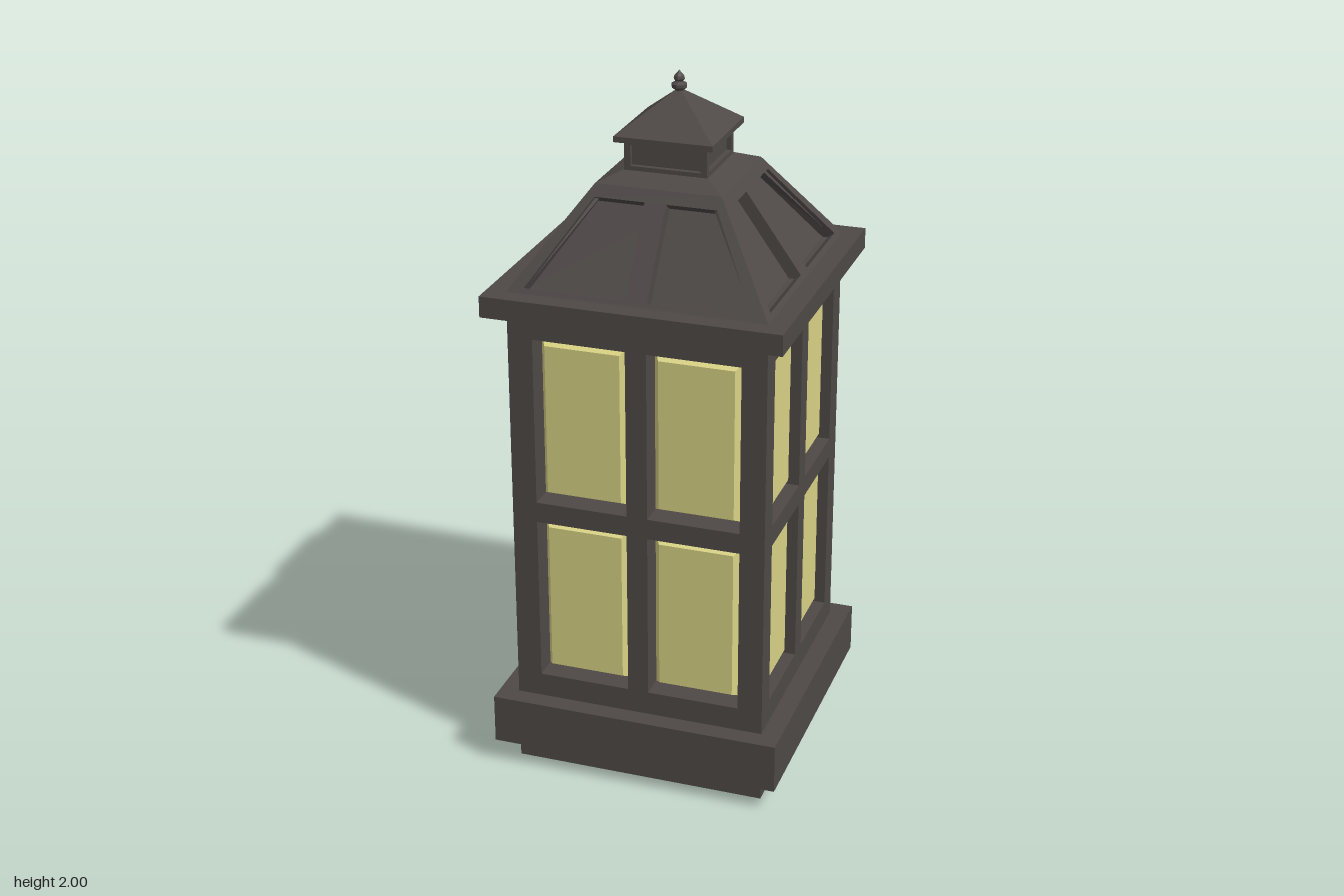
import * as THREE from 'three';

const metal = new THREE.MeshStandardMaterial({ color: 0x4e4947 });
metal.name = 'darkMetal';
const glass = new THREE.MeshStandardMaterial({ color: 0xd9d385 });
glass.name = 'paleYellowGlass';

// gives every face its own flat normals
function facet(geometry) {
  const g = geometry.index ? geometry.toNonIndexed() : geometry;
  g.computeVertexNormals();
  return g;
}

function add(parent, name, geometry, material = metal) {
  const mesh = new THREE.Mesh(geometry, material);
  mesh.name = name;
  parent.add(mesh);
  return mesh;
}

// square block or frustum; h0 and h1 are half widths at heights y0 and y1
function block(parent, name, h0, h1, y0, y1) {
  const g = new THREE.CylinderGeometry(h1 * Math.SQRT2, h0 * Math.SQRT2, y1 - y0, 4, 1);
  g.rotateY(Math.PI / 4).translate(0, (y0 + y1) / 2, 0);
  return add(parent, name, facet(g));
}

// box given by its limits
function bar(parent, name, x0, x1, y0, y1, z0, z1) {
  const g = new THREE.BoxGeometry(x1 - x0, y1 - y0, z1 - z0);
  g.translate((x0 + x1) / 2, (y0 + y1) / 2, (z0 + z1) / 2);
  return add(parent, name, g);
}

// calls build for a group on each of the four sides
function fourSides(parent, name, build) {
  for (let i = 0; i < 4; i++) {
    const side = new THREE.Group();
    side.name = name;
    side.rotation.y = i * Math.PI / 2;
    build(side);
    parent.add(side);
  }
}

// bulging pane with bevelled edges
function pane(parent, x, y, w, h, zBack, zFront, bevel) {
  const g = new THREE.BoxGeometry(w, h, zFront - zBack);
  const p = g.attributes.position;
  for (let i = 0; i < p.count; i++) {
    if (p.getZ(i) > 0) {
      p.setX(i, p.getX(i) - Math.sign(p.getX(i)) * bevel);
      p.setY(i, p.getY(i) - Math.sign(p.getY(i)) * bevel);
    }
  }
  add(parent, 'windowPane', facet(g.translate(x, y, (zBack + zFront) / 2)), glass);
}

function polygon(Type, points) {
  return new Type(points.map(([x, y]) => new THREE.Vector2(x, y)));
}

export function createModel() {
  const model = new THREE.Group();
  model.name = 'lantern';
  const body = new THREE.Group();
  body.name = 'lanternBody';
  body.rotation.y = -0.487;
  model.add(body);

  // base
  const H = 0.366, E = 0.4215;
  block(body, 'foot', H, H, 0, 0.07);
  block(body, 'baseSlab', E, E, 0.07, 0.215);

  // window walls: corner post, mullion, rails and four panes per side
  const inX = 0.295, mid = 0.03, back = 0.295;
  fourSides(body, 'windowWall', side => {
    bar(side, 'cornerPost', inX, H, 0.215, 1.4, inX, H);
    bar(side, 'mullion', -mid, mid, 0.285, 1.325, back, H);
    bar(side, 'bottomRail', -inX, inX, 0.215, 0.285, back, H);
    bar(side, 'topRail', -inX, inX, 1.325, 1.4, back, H);
    for (const s of [-1, 1]) {
      const [x0, x1] = s < 0 ? [-inX, -mid] : [mid, inX];
      bar(side, 'middleRail', x0, x1, 0.775, 0.835, back, H);
      for (const y of [0.53, 1.08]) {
        pane(side, (x0 + x1) / 2, y, inX - mid, 0.49, back, 0.341, 0.025);
      }
    }
  });

  // eave
  block(body, 'eave', E, E, 1.395, 1.455);

  // sloping roof with two recessed panels per side
  const T = 0.178, rise = 0.265, run = H - T, depth = 0.035;
  const slope = Math.hypot(run, rise), tilt = Math.atan2(run, rise);
  const inset = depth / Math.cos(tilt);
  block(body, 'roofPanels', H - inset, T - inset, 1.455, 1.72);
  fourSides(body, 'roofSide', side => {
    const shape = polygon(THREE.Shape, [[-H, 0], [H, 0], [T, slope], [-T, slope]]);
    for (const s of [-1, 1]) {
      shape.holes.push(polygon(THREE.Path,
        [[s * 0.03, 0.016], [s * 0.318, 0.016], [s * 0.172, 0.287], [s * 0.03, 0.287]]));
    }
    const g = new THREE.ExtrudeGeometry(shape, { depth, bevelEnabled: false });
    g.translate(0, 0, -depth).rotateX(-tilt).translate(0, 1.455, H);
    add(side, 'roofFrame', g);
  });
  block(body, 'roofTop', T, 0.12, 1.72, 1.745);

  // neck with one recessed panel per side
  const N = 0.117, n = 0.099;
  block(body, 'neckCore', 0.102, 0.102, 1.74, 1.83);
  fourSides(body, 'neckSide', side => {
    bar(side, 'neckPost', n, N, 1.735, 1.83, n, N);
    bar(side, 'neckBottomRail', -n, n, 1.735, 1.757, n, N);
    bar(side, 'neckTopRail', -n, n, 1.815, 1.83, n, N);
  });

  // cap and finial
  block(body, 'capEdge', 0.139, 0.139, 1.826, 1.842);
  block(body, 'capRoof', 0.139, 0.008, 1.842, 1.945);
  const profile = [[0.012, 1.935], [0.012, 1.945], [0.022, 1.953], [0.022, 1.962], [0.01, 1.969],
    [0.016, 1.976], [0.014, 1.984], [0.006, 1.992], [0, 2]];
  add(body, 'finial', facet(new THREE.LatheGeometry(
    profile.map(([x, y]) => new THREE.Vector2(x, y)), 8)));

  return model;
}
